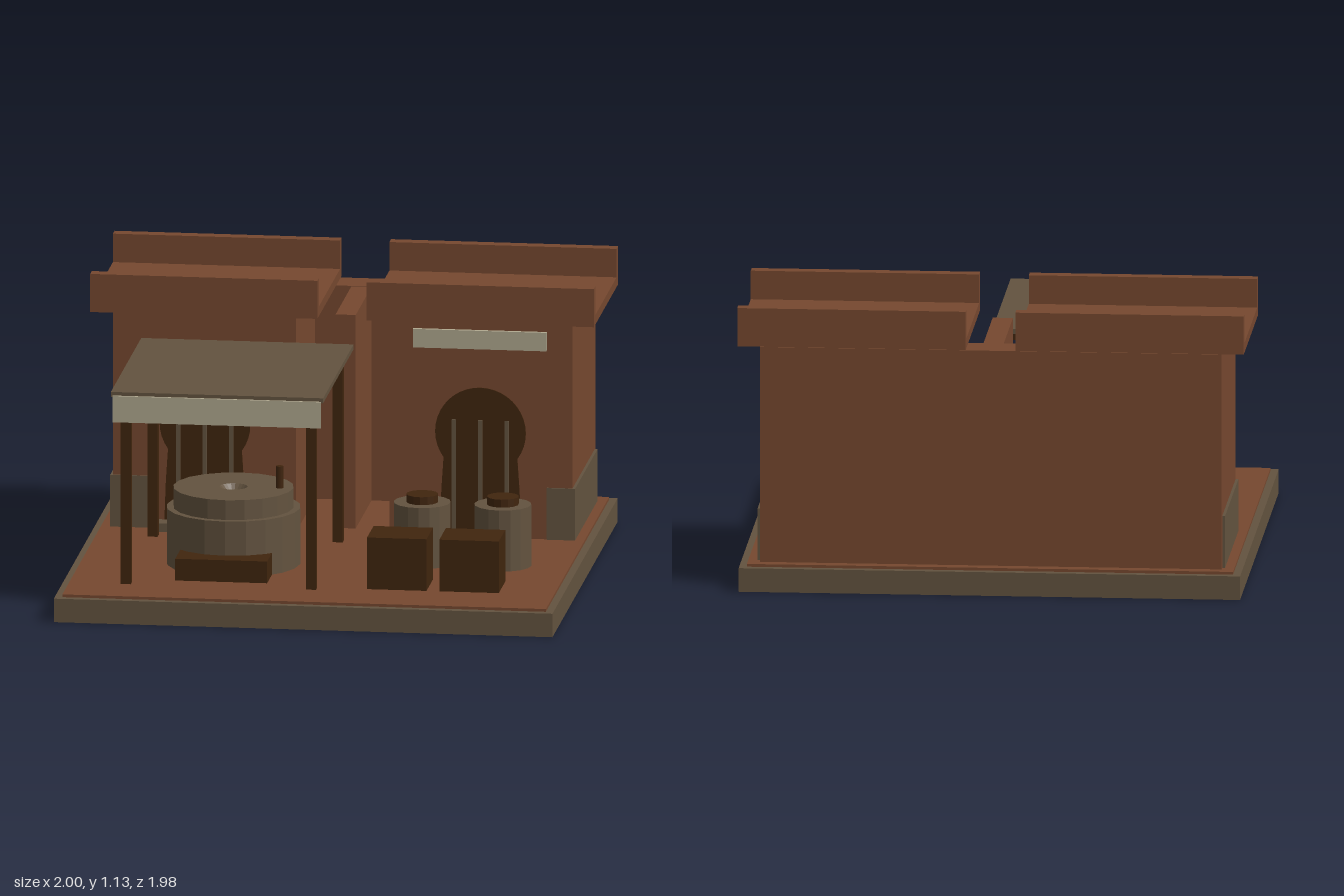
import * as THREE from 'three';

const mat = (name, color, extra = {}) => {
  const m = new THREE.MeshStandardMaterial({ color, ...extra });
  m.name = name;
  return m;
};

export function createModel() {
  const root = new THREE.Group();
  root.name = 'courtyardMill';
  const clay = mat('clay', 0x76482f);
  const stone = mat('stone', 0x63533f);
  const wood = mat('darkWood', 0x40250e);
  const cream = mat('creamCloth', 0xb0a88f);

  const add = (name, geometry, material, parent = root) => {
    const m = new THREE.Mesh(geometry, material);
    m.name = name;
    parent.add(m);
    return m;
  };
  // Box given by its extents along each axis
  const box = (name, material, [x0, x1], [y0, y1], [z0, z1], parent = root) => {
    const m = add(name, new THREE.BoxGeometry(x1 - x0, y1 - y0, z1 - z0), material, parent);
    m.position.set((x0 + x1) / 2, (y0 + y1) / 2, (z0 + z1) / 2);
    return m;
  };
  // Faceted turned shape from [radius, height] points
  const turned = (name, material, points, sides, x, z, parent = root) => {
    const profile = points.map(([r, y]) => new THREE.Vector2(r, y));
    const g = new THREE.LatheGeometry(profile, sides).toNonIndexed();
    g.computeVertexNormals();
    const m = add(name, g, material, parent);
    m.position.set(x, 0, z);
    return m;
  };
  const group = (name) => {
    const g = new THREE.Group();
    g.name = name;
    root.add(g);
    return g;
  };

  // Ground slab
  box('baseSlab', stone, [-0.99, 0.99], [0, 0.095], [-0.99, 0.99]);
  box('courtyardFloor', clay, [-0.96, 0.96], [0.09, 0.106], [-0.96, 0.96]);

  // Horseshoe doorway outline
  const doorShape = new THREE.Shape();
  const r = 0.18, a = 0.62;
  doorShape.moveTo(-0.162, 0.106);
  doorShape.lineTo(0.162, 0.106);
  doorShape.lineTo(0.155, 0.3);
  doorShape.lineTo(r * Math.cos(a), 0.532 - r * Math.sin(a));
  doorShape.absarc(0, 0.532, r, -a, Math.PI + a, false);
  doorShape.lineTo(-0.155, 0.3);
  const doorGeometry = new THREE.ExtrudeGeometry(doorShape, { depth: 0.006, bevelEnabled: false, curveSegments: 14 });

  // Two mirrored houses
  for (const s of [-1, 1]) {
    const house = group(s < 0 ? 'rightHouse' : 'leftHouse');
    const span = (p, q) => (s > 0 ? [p, q] : [-q, -p]);
    box('walls', clay, span(0.185, 0.912), [0.1, 0.98], [-0.912, -0.215], house);
    box('roofSlab', clay, span(0.098, 1), [0.976, 1.015], [-0.93, -0.19], house);
    for (const [z0, z1] of [[-0.24, -0.19], [-0.93, -0.88]])
      box('parapet', clay, span(0.098, 1), [0.976, 1.13], [z0, z1], house);
    box('cornerPlinth', stone, span(s > 0 ? 0.81 : 0.77, 0.923), [0.1, 0.315], [-0.888, -0.208], house);
    box('doorStep', stone, span(0.35, 0.745), [0.1, 0.14], [-0.23, -0.143], house);
    add('doorway', doorGeometry, wood, house).position.set(s * 0.547, 0, -0.216);
    for (const dx of [-0.105, 0, 0.105])
      box('doorBar', stone, [s * 0.547 + dx - 0.008, s * 0.547 + dx + 0.008], [0.106, 0.582], [-0.214, -0.203], house);
  }
  box('signBoard', cream, [0.28, 0.81], [0.87, 0.945], [-0.216, -0.2]);

  // Back wall and divider closing the alley
  box('backWall', clay, [-0.912, 0.912], [0.1, 0.972], [-0.917, -0.78]);
  box('alleyDivider', clay, [-0.04, 0.04], [0.1, 0.97], [-0.79, -0.3]);

  // Awning on posts
  const awning = group('awning');
  box('awningRoof', stone, [-0.79, 0.053], [0.87, 0.89], [-0.137, 0.787], awning);
  box('valance', cream, [-0.782, 0.045], [0.77, 0.876], [0.788, 0.798], awning);
  for (const z of [0.735, -0.077]) {
    box('awningBeam', wood, [-0.76, 0.025], [0.838, 0.87], [z - 0.025, z + 0.025], awning);
    for (const x of [-0.735, 0])
      box('awningPost', wood, [x - 0.02, x + 0.02], [0.1, 0.85], [z - 0.019, z + 0.019], awning);
  }

  // Millstone with hopper hole and turning handle
  const mill = group('mill');
  turned('lowerMillstone', stone, [[0.265, 0.1], [0.265, 0.332], [0, 0.332]], 20, -0.363, 0.327, mill);
  turned('upperMillstone', stone,
    [[0.238, 0.33], [0.238, 0.412], [0.055, 0.412], [0.03, 0.385], [0.03, 0.34], [0, 0.34]], 20, -0.363, 0.327, mill);
  const handle = add('millHandle', new THREE.CylinderGeometry(0.015, 0.015, 0.1, 8), wood, mill);
  handle.position.set(-0.18, 0.45, 0.325);
  box('flourTrough', wood, [-0.55, -0.185], [0.1, 0.194], [0.5, 0.668], mill);

  // Lidded jars and crates
  for (const x of [0.375, 0.695]) {
    turned('jar', stone, [[0, 0.1], [0.113, 0.1], [0.113, 0.353], [0, 0.353]], 16, x, 0.24);
    turned('jarLid', wood, [[0.063, 0.35], [0.063, 0.385], [0, 0.385]], 14, x, 0.24);
  }
  for (const x of [0.336, 0.623])
    box('crate', wood, [x - 0.118, x + 0.118], [0.1, 0.315], [0.517, 0.715]);

  return root;
}
